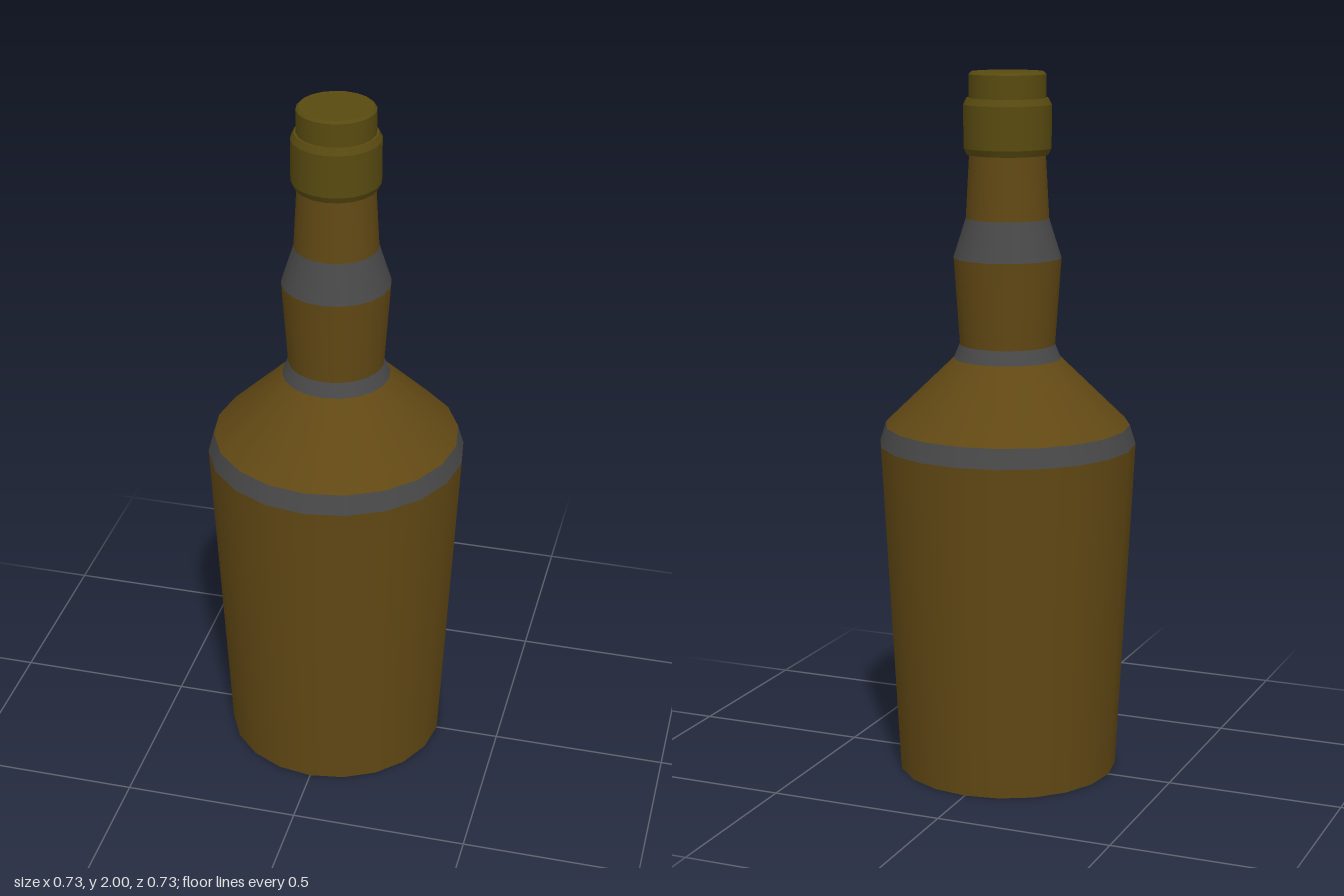
import * as THREE from 'three';

const SIDES = 20;
const glass = new THREE.MeshStandardMaterial({ color: 0x614814 });
const trim = new THREE.MeshStandardMaterial({ color: 0x484848 });
const stopper = new THREE.MeshStandardMaterial({ color: 0x584a10 });

// Ring of surface between two [radius, height] pairs, listed bottom to top
function band(name, from, to, material) {
  const points = [new THREE.Vector2(...from), new THREE.Vector2(...to)];
  const mesh = new THREE.Mesh(new THREE.LatheGeometry(points, SIDES), material);
  mesh.name = name;
  return mesh;
}

// Chain of bands along a profile; each entry is [name, radius, height, material]
function turned(name, start, steps) {
  const group = new THREE.Group();
  group.name = name;
  let from = start;
  for (const [part, radius, height, material] of steps) {
    group.add(band(part, from, [radius, height], material));
    from = [radius, height];
  }
  return group;
}

export function createModel() {
  const model = new THREE.Group();
  model.name = 'bottle';

  // Body, shoulder and stepped neck
  model.add(turned('bottleBody', [0, 0], [
    ['base', 0.315, 0, trim],
    ['lowerBody', 0.365, 0.955, glass],
    ['shoulderRim', 0.348, 1.01, trim],
    ['shoulder', 0.152, 1.2, glass],
    ['neckRing', 0.135, 1.24, trim],
    ['lowerNeck', 0.152, 1.485, glass],
    ['neckTaper', 0.117, 1.595, trim],
    ['upperNeck', 0.107, 1.775, glass],
  ]));

  // Collar and stopper with bevelled edges
  model.add(turned('cap', [0.1, 1.772], [
    ['collarUnderside', 0.114, 1.772, stopper],
    ['collarLowerBevel', 0.123, 1.79, stopper],
    ['collar', 0.123, 1.91, stopper],
    ['collarUpperBevel', 0.114, 1.928, stopper],
    ['collarTop', 0.108, 1.928, stopper],
    ['stopperSide', 0.108, 1.993, stopper],
    ['stopperBevel', 0.101, 2, stopper],
    ['stopperTop', 0, 2, stopper],
  ]));

  return model;
}
